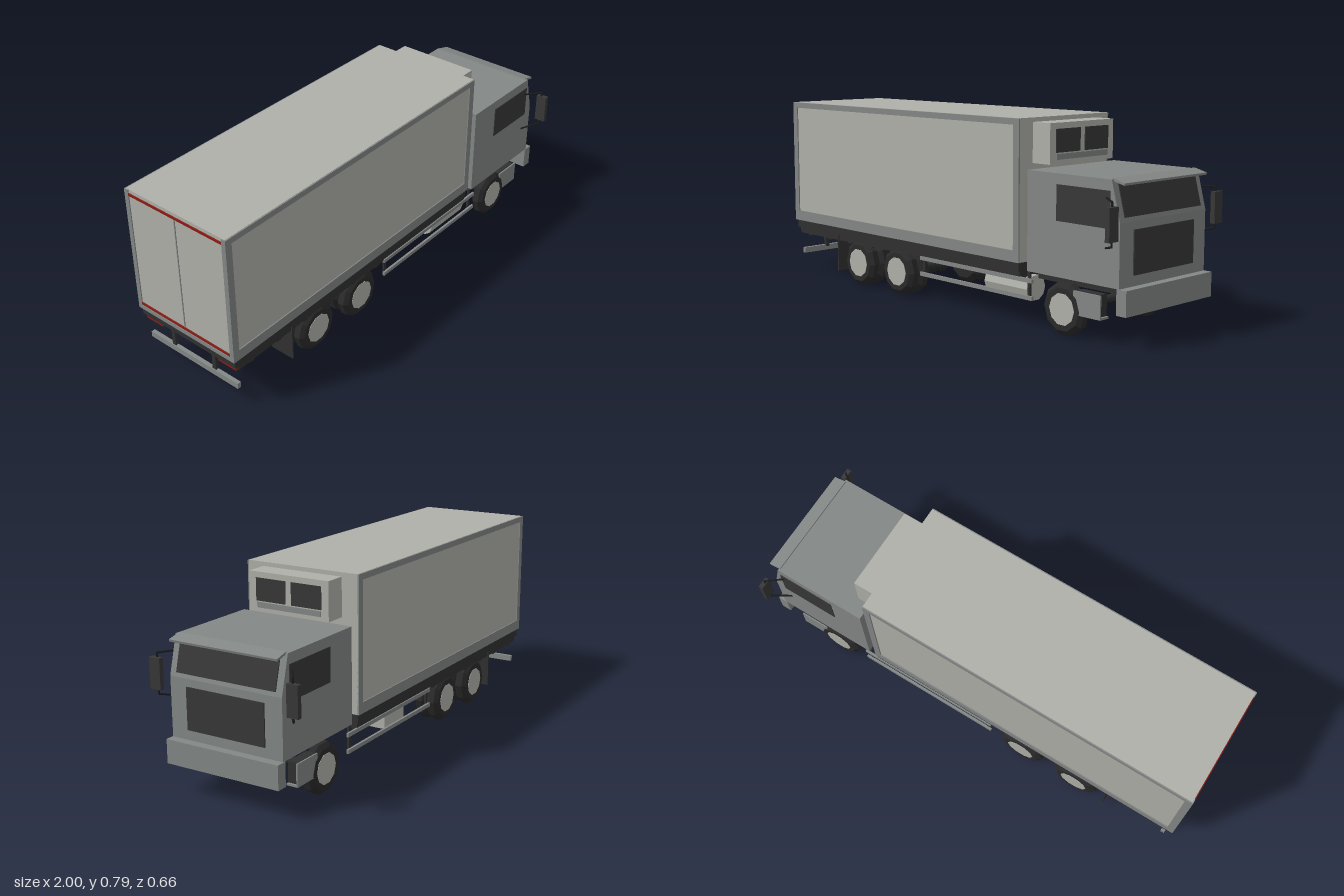
import * as THREE from 'three';

const mat = (name, color) => {
  const m = new THREE.MeshStandardMaterial({ color });
  m.name = name;
  return m;
};

export function createModel() {
  const light = mat('light panel', 0xb0b0aa);
  const grey = mat('cab grey', 0x838785);
  const dark = mat('chassis dark', 0x303030);
  const glass = mat('dark glass', 0x383838);
  const rubber = mat('tyre rubber', 0x2a2a2a);
  const black = mat('black', 0x1c1c1c);
  const red = mat('lamp red', 0x8c1c14);

  const truck = new THREE.Group();
  truck.name = 'boxTruck';
  const add = (name, geo, material, parent = truck) => {
    const m = new THREE.Mesh(geo, material);
    m.name = name;
    parent.add(m);
    return m;
  };
  // box given by its limits on each axis
  const box = (name, material, x0, x1, y0, y1, z0, z1) => {
    const m = add(name, new THREE.BoxGeometry(x1 - x0, y1 - y0, z1 - z0), material);
    m.position.set((x0 + x1) / 2, (y0 + y1) / 2, (z0 + z1) / 2);
    return m;
  };
  // the same box on both sides of the truck
  const pair = (name, material, x0, x1, y0, y1, z0, z1) => {
    box(name, material, x0, x1, y0, y1, z0, z1);
    box(name, material, x0, x1, y0, y1, -z1, -z0);
  };
  const faceted = (geo) => {
    const g = geo.toNonIndexed();
    g.computeVertexNormals();
    return g;
  };
  const rod = (name, material, a, b, r) => {
    const p = new THREE.Vector3(...a), q = new THREE.Vector3(...b);
    const m = add(name, new THREE.CylinderGeometry(r, r, p.distanceTo(q), 8), material);
    m.position.copy(p).add(q).multiplyScalar(0.5);
    m.quaternion.setFromUnitVectors(new THREE.Vector3(0, 1, 0), q.sub(p).normalize());
  };

  // cargo box with side frames
  box('cargoBox', light, -0.996, 0.475, 0.24, 0.79, -0.25, 0.25);
  pair('frameTop', grey, -1, 0.475, 0.765, 0.789, 0.249, 0.255);
  pair('frameBottom', grey, -1, 0.475, 0.24, 0.285, 0.249, 0.255);
  pair('frameRear', grey, -1, -0.97, 0.285, 0.765, 0.249, 0.255);
  pair('frameFront', grey, 0.445, 0.475, 0.285, 0.765, 0.249, 0.255);
  box('cargoFloor', dark, -0.99, 0.47, 0.205, 0.24, -0.248, 0.248);

  // rear doors
  pair('rearPost', grey, -1, -0.995, 0.24, 0.789, 0.235, 0.25);
  box('rearSill', grey, -1, -0.995, 0.24, 0.258, -0.235, 0.235);
  for (const y of [0.262, 0.765]) box('rearStripe', red, -1, -0.995, y, y + 0.01, -0.235, 0.235);
  box('doorSeam', grey, -0.999, -0.995, 0.272, 0.765, -0.002, 0.002);

  // cooling unit on the front wall
  box('coolingUnit', light, 0.475, 0.565, 0.617, 0.773, -0.18, 0.18);
  pair('coolingVent', glass, 0.563, 0.568, 0.66, 0.75, 0.013, 0.148);
  box('coolingTrim', grey, 0.563, 0.567, 0.633, 0.655, -0.145, 0.145);

  // cab
  const profile = new THREE.Shape([
    [0.515, 0.215], [0.965, 0.215], [0.965, 0.45], [0.925, 0.6], [0.515, 0.6],
  ].map(([x, y]) => new THREE.Vector2(x, y)));
  const cabGeo = new THREE.ExtrudeGeometry(profile, { depth: 0.496, bevelEnabled: false });
  add('cab', cabGeo.translate(0, 0, -0.248), grey);
  pair('sideWindow', glass, 0.665, 0.92, 0.425, 0.56, 0.247, 0.251);
  box('grille', glass, 0.963, 0.97, 0.255, 0.42, -0.173, 0.173);
  const tilt = Math.atan2(0.04, 0.15);
  const shield = add('windshield', new THREE.BoxGeometry(0.006, 0.122, 0.44), glass);
  shield.position.set(0.946, 0.525, 0);
  shield.rotation.z = tilt;
  const visor = add('sunVisor', new THREE.BoxGeometry(0.058, 0.009, 0.476), grey);
  visor.position.set(0.946, 0.593, 0);
  visor.rotation.z = -0.25;
  box('frontBumper', grey, 0.955, 1, 0.12, 0.215, -0.25, 0.25);

  // mirrors and their arms
  for (const s of [1, -1]) {
    box('mirror', glass, 0.965, 0.985, 0.392, 0.514, Math.min(s * 0.28, s * 0.328), Math.max(s * 0.28, s * 0.328));
    rod('mirrorArm', black, [0.9, 0.534, s * 0.246], [0.972, 0.531, s * 0.3], 0.004);
    rod('mirrorArm', black, [0.9, 0.354, s * 0.246], [0.972, 0.373, s * 0.3], 0.004);
    rod('mirrorStem', black, [0.972, 0.373, s * 0.3], [0.972, 0.531, s * 0.3], 0.004);
  }

  // step boxes ahead of the front wheels
  pair('stepPlate', grey, 0.75, 0.88, 0.088, 0.178, 0.242, 0.248);
  pair('stepBottom', grey, 0.75, 0.88, 0.088, 0.096, 0.2, 0.242);
  pair('stepInside', dark, 0.755, 0.87, 0.096, 0.178, 0.2, 0.242);

  // chassis
  pair('chassisRail', dark, -0.95, 0.955, 0.165, 0.215, 0.1, 0.13);
  pair('sideSill', dark, -0.97, 0.47, 0.18, 0.206, 0.225, 0.243);
  pair('cabSill', dark, 0.52, 0.93, 0.18, 0.216, 0.13, 0.19);
  for (let i = 0; i < 10; i++) {
    const x = -0.9 + i * 0.15;
    box('crossMember', dark, x - 0.012, x + 0.012, 0.175, 0.206, -0.243, 0.243);
  }
  for (const x of [0.6, 0.8, 0.92]) box('crossMember', dark, x - 0.015, x + 0.015, 0.17, 0.21, -0.1, 0.1);

  // side guards
  for (const y of [0.103, 0.17]) pair('guardRail', grey, -0.11, 0.54, y, y + 0.016, 0.238, 0.248);
  for (const x of [-0.095, 0.515]) pair('guardPost', dark, x - 0.006, x + 0.006, 0.1, 0.21, 0.23, 0.239);

  // fuel tank and equipment box
  const tank = add('fuelTank', faceted(new THREE.CylinderGeometry(0.051, 0.051, 0.235, 10)), light);
  tank.rotation.z = Math.PI / 2;
  tank.position.set(0.372, 0.135, 0.172);
  box('equipmentBox', light, 0.06, 0.215, 0.095, 0.168, -0.215, -0.125);

  // rear underrun bar, lamps and mud flaps
  box('underrunBar', grey, -0.972, -0.955, 0.083, 0.108, -0.235, 0.235);
  pair('underrunPost', dark, -0.968, -0.952, 0.1, 0.207, 0.1, 0.118);
  pair('rearLamp', red, -0.98, -0.968, 0.182, 0.205, 0.15, 0.24);
  pair('mudFlap', dark, -0.683, -0.677, 0.04, 0.206, 0.138, 0.248);

  // wheels: single at the front, twin at the rear
  const tyreGeo = faceted(new THREE.LatheGeometry(
    [[0, -0.027], [0.084, -0.027], [0.102, -0.013], [0.102, 0.013], [0.084, 0.027], [0, 0.027]]
      .map(([r, y]) => new THREE.Vector2(r, y)), 10, Math.PI / 10));
  tyreGeo.rotateX(Math.PI / 2);
  const hubGeo = faceted(new THREE.CylinderGeometry(0.062, 0.062, 0.006, 10, 1, false, Math.PI / 10));
  hubGeo.rotateX(Math.PI / 2);
  const axle = (name, x, tracks) => {
    const g = new THREE.Group();
    g.name = name;
    g.position.set(x, 0.098, 0);
    truck.add(g);
    for (const s of [1, -1]) {
      for (const z of tracks) add('tyre', tyreGeo, rubber, g).position.z = s * z;
      add('hub', hubGeo, light, g).position.z = s * 0.2475;
    }
    const beam = add('axleBeam', new THREE.CylinderGeometry(0.016, 0.016, 0.4, 8), dark, g);
    beam.rotation.x = Math.PI / 2;
  };
  axle('rearAxle', -0.53, [0.222, 0.165]);
  axle('middleAxle', -0.263, [0.222, 0.165]);
  axle('frontAxle', 0.695, [0.222]);

  return truck;
}
